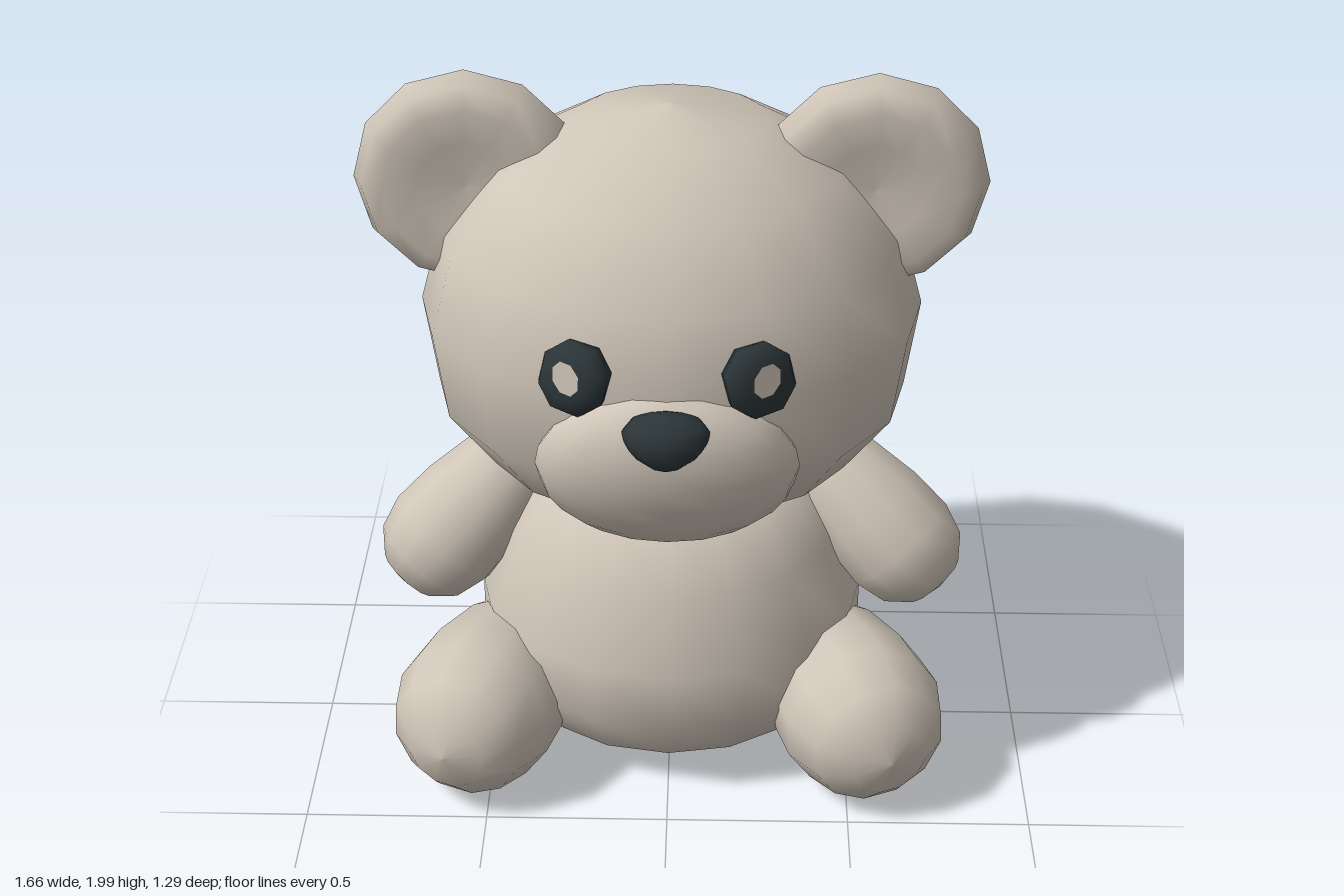
import * as THREE from 'three';

const fur = new THREE.MeshStandardMaterial({ color: 0xcfc5b8 });
fur.name = 'beige fur';
const dark = new THREE.MeshStandardMaterial({ color: 0x2c3639 });
dark.name = 'dark charcoal';

const UP = new THREE.Vector3(0, 1, 0);

// Smooth turned form from [radius, height] pairs, listed bottom to top
function turned(name, profile, sides, material) {
  const points = profile.map(([r, y]) => new THREE.Vector2(r, y));
  const mesh = new THREE.Mesh(new THREE.LatheGeometry(points, sides), material);
  mesh.name = name;
  return mesh;
}

// Tapered limb from its free tip to its root; profile is [radius, share of length]
function limb(name, tip, root, profile) {
  const axis = root.clone().sub(tip);
  const length = axis.length();
  const mesh = turned(name, profile.map(([r, t]) => [r, t * length]), 12, fur);
  mesh.quaternion.setFromUnitVectors(UP, axis.normalize());
  mesh.position.copy(tip);
  return mesh;
}

// Dark button eye with a pale glint, facing along the curve of the head
function eye(name, s) {
  const group = new THREE.Group();
  group.name = name;
  const button = turned('eyeButton',
    [[0, -0.04], [0.09, -0.04], [0.1, -0.005], [0.085, 0.02], [0.05, 0.034], [0, 0.038]], 8, dark);
  button.geometry.scale(0.98, 1, 1.1).rotateX(Math.PI / 2).rotateZ(s * 0.6);
  const glint = new THREE.Mesh(new THREE.CircleGeometry(1, 8), fur);
  glint.name = 'eyeGlint';
  glint.geometry.scale(0.04, 0.048, 1).rotateZ(s * -0.3);
  glint.position.set(s * -0.005, 0.018, 0.041);
  group.add(button, glint);
  group.position.set(s * 0.235, 1.4, 0.478);
  group.rotation.set(-0.1, s * 0.48, 0);
  return group;
}

export function createModel() {
  const bear = new THREE.Group();
  bear.name = 'teddyBear';

  // Head and body
  const head = turned('head', [[0, 0.8], [0.35, 0.82], [0.51, 0.92], [0.635, 1.09], [0.67, 1.34],
    [0.61, 1.56], [0.46, 1.75], [0.25, 1.87], [0, 1.91]], 16, fur);
  head.scale.z = 0.87;
  head.position.z = -0.06;
  const body = turned('body', [[0, 0.01], [0.3, 0.035], [0.45, 0.115], [0.54, 0.26], [0.54, 0.43],
    [0.46, 0.64], [0.36, 0.81], [0, 0.93]], 16, fur);
  body.scale.z = 0.9;
  body.position.z = -0.06;
  bear.add(head, body);

  // Muzzle, tipped so its top juts forward
  const muzzle = new THREE.Mesh(new THREE.SphereGeometry(1, 16, 12), fur);
  muzzle.name = 'muzzle';
  muzzle.geometry.scale(0.34, 0.26, 0.16);
  muzzle.rotation.x = 0.35;
  muzzle.position.set(0, 1.12, 0.422);
  bear.add(muzzle);

  // Nose, narrowing towards the bottom
  const noseShape = new THREE.SphereGeometry(1, 12, 8);
  const p = noseShape.attributes.position;
  for (let i = 0; i < p.count; i++) p.setX(i, p.getX(i) * (1 + 0.35 * p.getY(i)));
  noseShape.scale(0.105, 0.078, 0.075);
  noseShape.computeVertexNormals();
  const nose = new THREE.Mesh(noseShape, dark);
  nose.name = 'nose';
  nose.rotation.x = 0.15;
  nose.position.set(0, 1.278, 0.568);
  bear.add(nose);

  // Paired parts
  for (const [side, s] of [['left', 1], ['right', -1]]) {
    const at = (x, y, z) => new THREE.Vector3(s * x, y, z);

    bear.add(eye(side + 'Eye', s));

    // Flat round ear, slightly dished on both faces
    const ear = turned(side + 'Ear', [[0, -0.06], [0.13, -0.07], [0.22, -0.085], [0.275, -0.055],
      [0.3, 0], [0.275, 0.055], [0.22, 0.085], [0.13, 0.07], [0, 0.06]], 12, fur);
    ear.geometry.rotateX(Math.PI / 2);
    ear.position.copy(at(0.53, 1.7, -0.053));
    bear.add(ear);

    bear.add(limb(side + 'Arm', at(0.766, 0.45, -0.004), at(0.355, 0.87, -0.17),
      [[0, 0], [0.09, 0.04], [0.15, 0.14], [0.175, 0.29], [0.168, 0.5], [0.14, 0.75], [0.09, 0.92], [0, 1]]));

    bear.add(limb(side + 'Leg', at(0.612, 0.228, 0.525), at(0.37, 0.24, -0.17),
      [[0, 0], [0.11, 0.03], [0.19, 0.13], [0.23, 0.29], [0.226, 0.45], [0.19, 0.68], [0.12, 0.88], [0, 1]]));
  }
  return bear;
}
